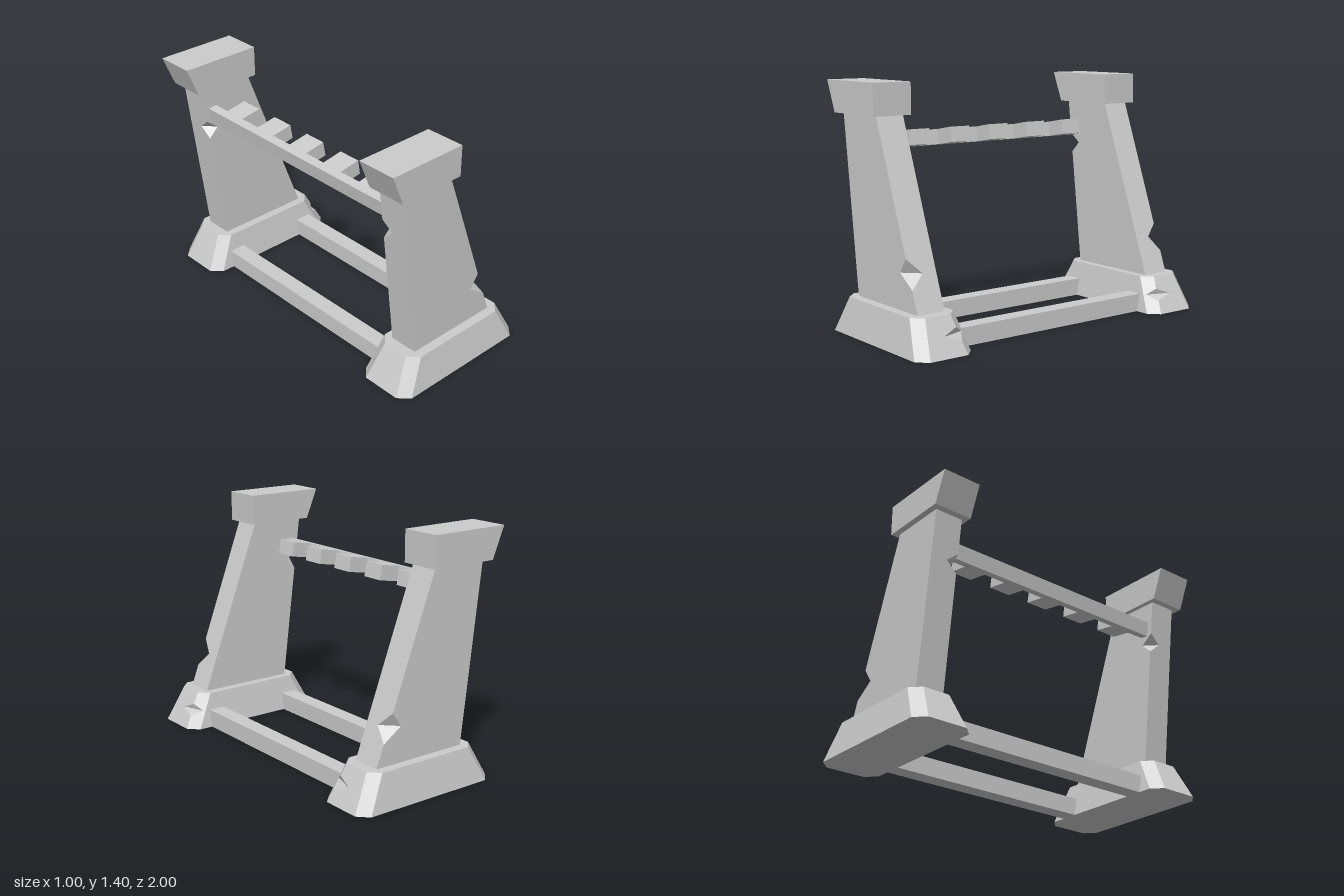
import * as THREE from 'three';

const material = new THREE.MeshStandardMaterial({ color: 0xcccccc, flatShading: true, side: THREE.DoubleSide });

function addMesh(parent, name, geometry) {
  const mesh = new THREE.Mesh(geometry, material);
  mesh.name = name;
  parent.add(mesh);
  return mesh;
}

// Counter-clockwise rectangle at height y, with optional cut corners
function ring(y, x0, x1, z0, z1, c = 0) {
  const p = c
    ? [[x1, z1 - c], [x1, z0 + c], [x1 - c, z0], [x0 + c, z0], [x0, z0 + c], [x0, z1 - c], [x0 + c, z1], [x1 - c, z1]]
    : [[x1, z1], [x1, z0], [x0, z0], [x0, z1]];
  return p.map(([x, z]) => new THREE.Vector3(x, y, z));
}

// Tapered block between two rings; each chip cuts a wedge out of one upright edge.
// chip: edge index, low/mid/high along the edge, reach into the previous and next face
function chippedBlock(bottom, top, chips, side) {
  const n = bottom.length;
  const onEdge = (i, t) => bottom[(i + n) % n].clone().lerp(top[(i + n) % n], t);
  const faces = [top, [...bottom].reverse()];
  const cuts = chips.map(c => ({
    edge: c.edge,
    low: onEdge(c.edge, c.low),
    high: onEdge(c.edge, c.high),
    prev: onEdge(c.edge, c.mid).lerp(onEdge(c.edge - 1, c.mid), c.prev),
    next: onEdge(c.edge, c.mid).lerp(onEdge(c.edge + 1, c.mid), c.next),
  }));
  for (let i = 0; i < n; i++) {
    const j = (i + 1) % n;
    const right = cuts.find(c => c.edge === j);
    const left = cuts.find(c => c.edge === i);
    if (right) faces.push([right.prev, right.high, top[j], top[i], bottom[i], bottom[j], right.low]);
    else if (left) faces.push([left.next, left.low, bottom[i], bottom[j], top[j], top[i], left.high]);
    else faces.push([bottom[i], bottom[j], top[j], top[i]]);
  }
  for (const c of cuts) faces.push([c.high, c.prev, c.next], [c.low, c.next, c.prev]);

  // Fan every face; the mirrored copy reverses its winding
  const positions = [];
  for (const f of faces) {
    for (let k = 1; k < f.length - 1; k++) {
      const tri = side > 0 ? [f[0], f[k], f[k + 1]] : [f[0], f[k + 1], f[k]];
      for (const p of tri) positions.push(p.x, p.y, p.z * side);
    }
  }
  const geometry = new THREE.BufferGeometry();
  geometry.setAttribute('position', new THREE.Float32BufferAttribute(positions, 3));
  geometry.computeVertexNormals();
  return geometry;
}

function createEndSupport(side) {
  const group = new THREE.Group();
  group.name = side > 0 ? 'frontSupport' : 'backSupport';

  // Splayed foot with a chip on its inner corner
  addMesh(group, 'foot', chippedBlock(
    ring(0, -0.435, 0.5, 0.645, 1, 0.06),
    ring(0.205, -0.33, 0.395, 0.685, 0.96, 0.058),
    [{ edge: 1, low: 0.35, mid: 0.51, high: 0.68, prev: 0.49, next: 0.82 }], side));

  // Leaning post, chipped low on the outside and high on the inside
  addMesh(group, 'post', chippedBlock(
    ring(0.205, -0.265, 0.33, 0.735, 0.905),
    ring(1.22, -0.39, -0.05, 0.735, 0.905),
    [
      { edge: 0, low: 0.123, mid: 0.2, high: 0.28, prev: 0.16, next: 0.5 },
      { edge: 2, low: 0.685, mid: 0.744, high: 0.8, prev: 0.17, next: 0.4 },
    ], side));

  // Cap with one slanted end
  addMesh(group, 'cap', chippedBlock(
    ring(1.22, -0.43, -0.015, 0.705, 0.94),
    ring(1.4, -0.505, -0.015, 0.705, 0.94), [], side));
  return group;
}

export function createModel() {
  const model = new THREE.Group();
  model.name = 'rack';
  for (const side of [1, -1]) model.add(createEndSupport(side));

  // Floor rails joining the feet
  for (const [name, x] of [['rightRail', -0.243], ['leftRail', 0.305]]) {
    addMesh(model, name, new THREE.BoxGeometry(0.1, 0.105, 1.34)).position.set(x, 0.0525, 0);
  }

  // Tilted upper bar with five teeth, cut as one comb
  const half = 0.74, bar = 0.052, tooth = 0.18;
  const comb = new THREE.Shape();
  comb.moveTo(0, -half);
  comb.lineTo(bar, -half);
  for (let i = -2; i <= 2; i++) {
    const z = i * 0.278;
    comb.lineTo(bar, z - 0.069);
    comb.lineTo(tooth, z - 0.069);
    comb.lineTo(tooth, z + 0.069);
    comb.lineTo(bar, z + 0.069);
  }
  comb.lineTo(bar, half);
  comb.lineTo(0, half);
  const combGeometry = new THREE.ExtrudeGeometry(comb, { depth: 0.088, bevelEnabled: false });
  combGeometry.rotateX(-Math.PI / 2);
  const rack = addMesh(model, 'toothedBar', combGeometry);
  rack.position.set(-0.33, 1.009, 0);
  rack.rotation.z = 0.17;

  return model;
}
